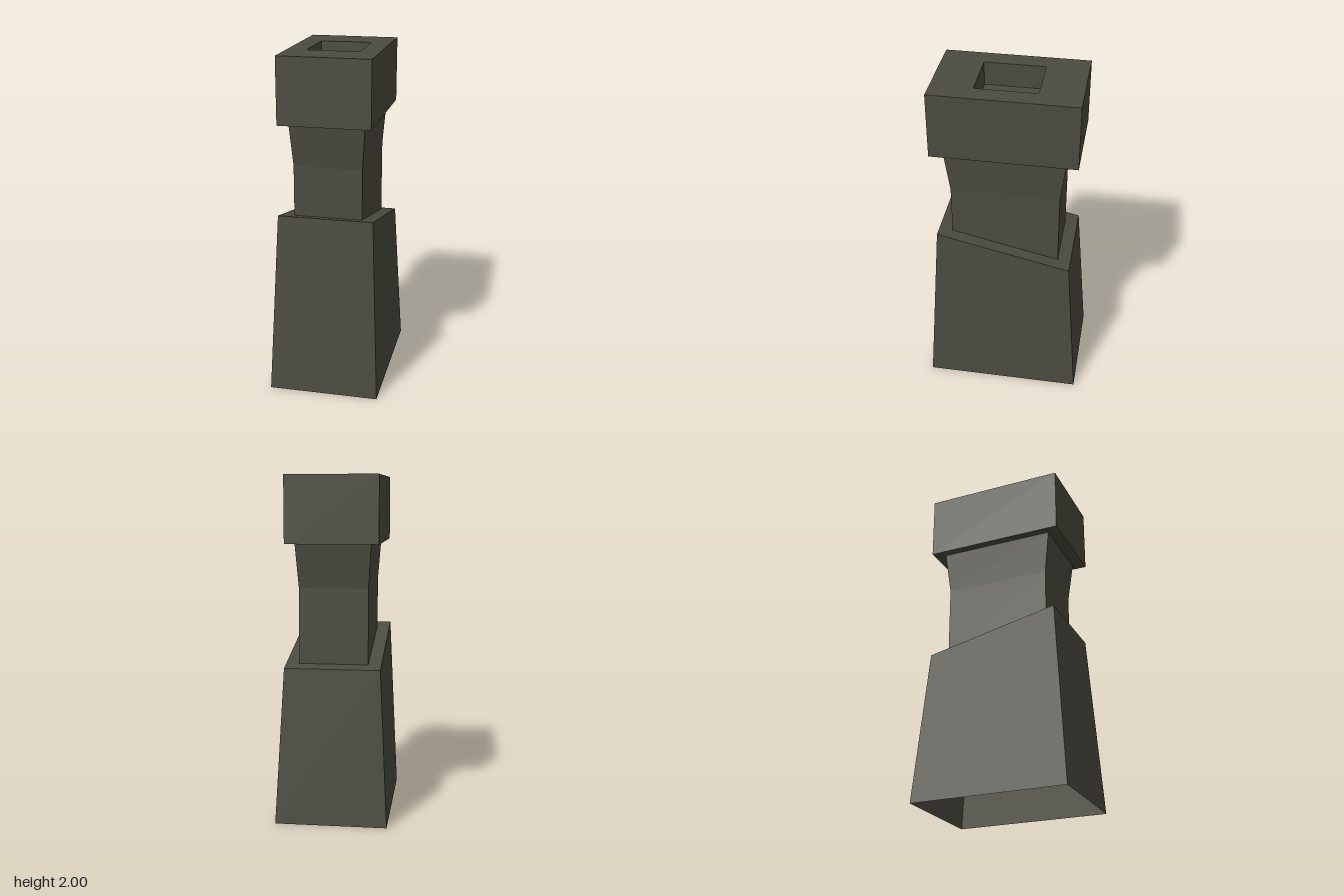
import * as THREE from 'three';

// Rectangular loft: each ring is [halfWidth, halfDepth, frontY, backY = frontY], listed along the outer skin
function loft(rings) {
  const corners = rings.map(([w, d, front, back = front]) => [
    [-w, front, d], [w, front, d], [w, back, -d], [-w, back, -d],
  ]);
  const points = [];
  for (let r = 0; r < corners.length - 1; r++) {
    const low = corners[r], high = corners[r + 1];
    const closing = rings[r + 1][0] === 0;
    for (let i = 0; i < 4; i++) {
      const j = (i + 1) % 4;
      points.push(...low[i], ...low[j], ...high[j]);
      if (!closing) points.push(...low[i], ...high[j], ...high[i]);
    }
  }
  const geometry = new THREE.BufferGeometry();
  geometry.setAttribute('position', new THREE.Float32BufferAttribute(points, 3));
  geometry.computeVertexNormals(); // unshared corners keep every face flat
  return geometry;
}

export function createModel() {
  const stone = new THREE.MeshStandardMaterial({ color: 0x4c4b40, side: THREE.DoubleSide });
  stone.name = 'dark stone';

  const model = new THREE.Group();
  model.name = 'chimney';
  const add = (name, rings) => {
    const mesh = new THREE.Mesh(loft(rings), stone);
    mesh.name = name;
    model.add(mesh);
  };

  // Tapered base, open below, with a top that slopes down to the back
  add('base', [[0.324, 0.463, 0], [0.277, 0.392, 1.08, 0.905], [0, 0, 0.9925]]);

  // Neck rising from the slope and flaring under the cap
  add('neck', [[0.2, 0.316, 1.063, 0.922], [0.2, 0.316, 1.36], [0.218, 0.347, 1.615]]);

  // Cap block with a recessed flue
  add('cap', [
    [0.218, 0.347, 1.615], [0.266, 0.417, 1.615], [0.266, 0.417, 2],
    [0.152, 0.176, 2], [0.152, 0.176, 1.86], [0, 0, 1.86],
  ]);

  model.rotation.y = -0.258;
  return model;
}
